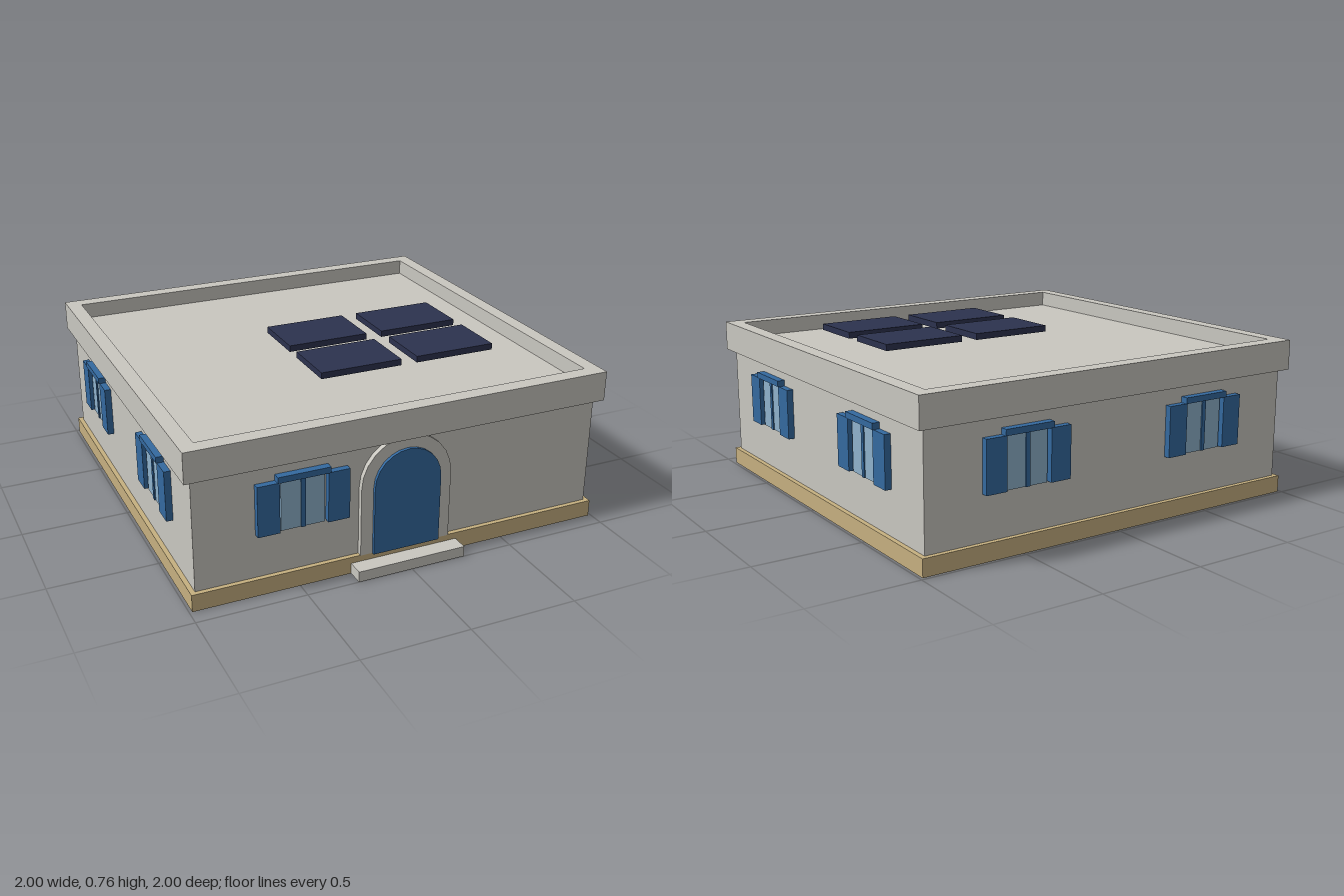
import * as THREE from 'three';

const mat = (name, color) => {
  const m = new THREE.MeshStandardMaterial({ color });
  m.name = name;
  return m;
};

export function createModel() {
  const stone = mat('stone', 0xc9c7c0);
  const sand = mat('sand', 0xc6b080);
  const blue = mat('blue', 0x34699f);
  const glass = mat('glass', 0x8fb2cc);
  const navy = mat('navy', 0x2c324e);

  const model = new THREE.Group();
  model.name = 'house';
  const CZ = -0.0325; // centre of the building in z
  const WX = 0.965, WZ = 0.9325; // wall half sizes

  const add = (parent, name, geometry, material) => {
    const mesh = new THREE.Mesh(geometry, material);
    mesh.name = name;
    parent.add(mesh);
    return mesh;
  };
  // Box given by its lower and upper limits on each axis
  const box = (parent, name, material, [x0, x1], [y0, y1], [z0, z1]) => {
    const mesh = add(parent, name, new THREE.BoxGeometry(x1 - x0, y1 - y0, z1 - z0), material);
    mesh.position.set((x0 + x1) / 2, (y0 + y1) / 2, (z0 + z1) / 2);
    return mesh;
  };

  // Plinth, walls with flat roof, doorstep
  box(model, 'plinth', sand, [-0.987, 0.987], [0, 0.08], [CZ - 0.954, CZ + 0.954]);
  box(model, 'walls', stone, [-WX, WX], [0.08, 0.665], [CZ - WZ, CZ + WZ]);
  box(model, 'doorstep', stone, [-0.26, 0.26], [0, 0.05], [0.915, 1]);

  // Parapet ring around the roof
  const rect = (S, a, b) => new S([[-a, -b], [a, -b], [a, b], [-a, b]].map(p => new THREE.Vector2(...p)));
  const ring = rect(THREE.Shape, 1, 0.9655);
  ring.holes.push(rect(THREE.Path, 0.93, 0.893));
  const parapet = add(model, 'parapet',
    new THREE.ExtrudeGeometry(ring, { depth: 0.14, bevelEnabled: false }).rotateX(-Math.PI / 2), stone);
  parapet.position.set(0, 0.6, CZ);

  // Arched door and its surround
  const arch = (S, r) => {
    const s = new S();
    s.moveTo(-r, 0.08);
    s.lineTo(r, 0.08);
    s.lineTo(r, 0.4);
    s.absarc(0, 0.4, r, 0, Math.PI, false);
    s.closePath();
    return s;
  };
  const extrudeArch = (shape, depth) =>
    new THREE.ExtrudeGeometry(shape, { depth, bevelEnabled: false, curveSegments: 6 });
  const surround = arch(THREE.Shape, 0.217);
  surround.holes.push(arch(THREE.Path, 0.16));
  add(model, 'doorSurround', extrudeArch(surround, 0.045), stone).position.z = 0.88;
  add(model, 'door', extrudeArch(arch(THREE.Shape, 0.16), 0.05), blue).position.z = 0.89;

  // Shuttered window facing +z, with the wall surface at z = 0
  const addWindow = (x, z, turn) => {
    const w = new THREE.Group();
    w.name = 'window';
    const y = [0.285, 0.52];
    for (const s of [-1, 1]) {
      const span = (a, b) => (s > 0 ? [a, b] : [-b, -a]);
      box(w, 'shutter', blue, span(0.11, 0.21), y, [-0.01, 0.03]);
      box(w, 'pane', glass, span(0.01, 0.1), y, [-0.01, 0.014]);
    }
    box(w, 'mullion', blue, [-0.01, 0.01], y, [-0.01, 0.02]);
    box(w, 'lintel', blue, [-0.12, 0.12], [0.52, 0.548], [-0.01, 0.035]);
    w.position.set(x, 0, z);
    w.rotation.y = turn;
    model.add(w);
  };
  addWindow(-WX / 2, CZ + WZ, 0);
  for (const s of [-1, 1]) {
    addWindow(s * WX / 2, CZ - WZ, Math.PI);
    for (const side of [-1, 1]) addWindow(side * WX, CZ + s * WZ / 2, side * Math.PI / 2);
  }

  // Solar panels raised above the roof
  for (const x of [0, 0.48])
    for (const z of [-0.025, 0.335])
      box(model, 'solarPanel', navy, [x - 0.2, x + 0.2], [0.735, 0.765], [z - 0.14, z + 0.14]);

  return model;
}
